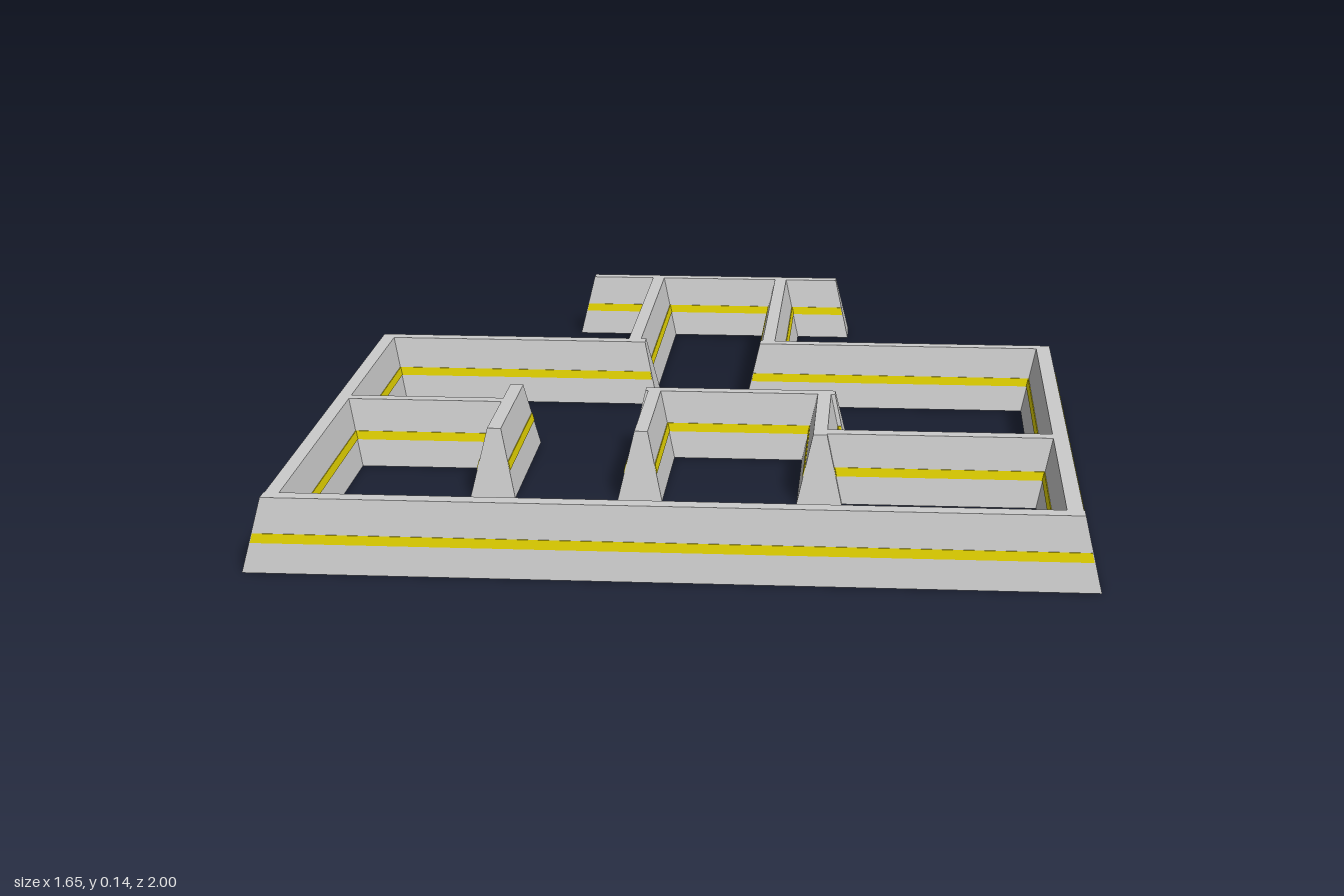
import * as THREE from 'three';

const HEIGHT = 0.143, SLOPE = 0.033 / HEIGHT; // every side leans inward by this much per unit height

const wallMat = new THREE.MeshStandardMaterial({ color: 0xcccccc, flatShading: true });
const stripeMat = new THREE.MeshStandardMaterial({ color: 0xe0d000, flatShading: true });

// Slice of a tapered wall between heights y0 and y1; gx and gz grow the footprint
function slice([x0, x1, z0, z1], y0, y1, gx = 0, gz = 0) {
  const geo = new THREE.BoxGeometry(1, 1, 1);
  const p = geo.attributes.position;
  for (let i = 0; i < p.count; i++) {
    const y = p.getY(i) > 0 ? y1 : y0;
    const hx = (x1 - x0) / 2 + gx - y * SLOPE;
    const hz = (z1 - z0) / 2 + gz - y * SLOPE;
    p.setXYZ(i, (x0 + x1) / 2 + Math.sign(p.getX(i)) * hx, y, (z0 + z1) / 2 + Math.sign(p.getZ(i)) * hz);
  }
  geo.computeVertexNormals();
  return geo;
}

// Base footprints: x min, x max, z min, z max
const WALLS = {
  backCap: [-0.39, 0.305, -1, -0.905],
  leftPassage: [-0.237, -0.142, -0.99, -0.24],
  rightPassage: [0.081, 0.176, -0.99, -0.243],
  backLeftWall: [-0.825, -0.13, -0.338, -0.24],
  backRightWall: [0.076, 0.815, -0.338, -0.243],
  outerLeftWall: [-0.825, -0.73, -0.338, 1],
  outerRightWall: [0.724, 0.822, -0.338, 1],
  frontWall: [-0.827, 0.824, 0.9, 1],
  innerArm: [-0.81, -0.38, 0.2, 0.295],
  innerCrossbar: [-0.46, -0.365, 0.09, 0.5],
  alcoveBack: [-0.155, 0.33, 0.09, 0.185],
  alcoveLeft: [-0.149, -0.055, 0.1, 0.5],
  alcoveRight: [0.226, 0.321, 0.1, 0.5],
  alcoveLink: [0.235, 0.815, 0.392, 0.49],
};

export function createModel() {
  const model = new THREE.Group();
  model.name = 'mazeWalls';
  for (const [name, rect] of Object.entries(WALLS)) {
    const group = new THREE.Group();
    group.name = name;
    const wall = new THREE.Mesh(slice(rect, 0, HEIGHT), wallMat);
    wall.name = 'wall';
    // Stripe shows on the long sides only and stays inside the plain ends
    const alongX = rect[1] - rect[0] > rect[3] - rect[2];
    const out = 0.0015, inn = -0.002;
    const stripe = new THREE.Mesh(
      slice(rect, 0.057, 0.075, alongX ? inn : out, alongX ? out : inn), stripeMat);
    stripe.name = 'stripe';
    group.add(wall, stripe);
    model.add(group);
  }
  return model;
}
